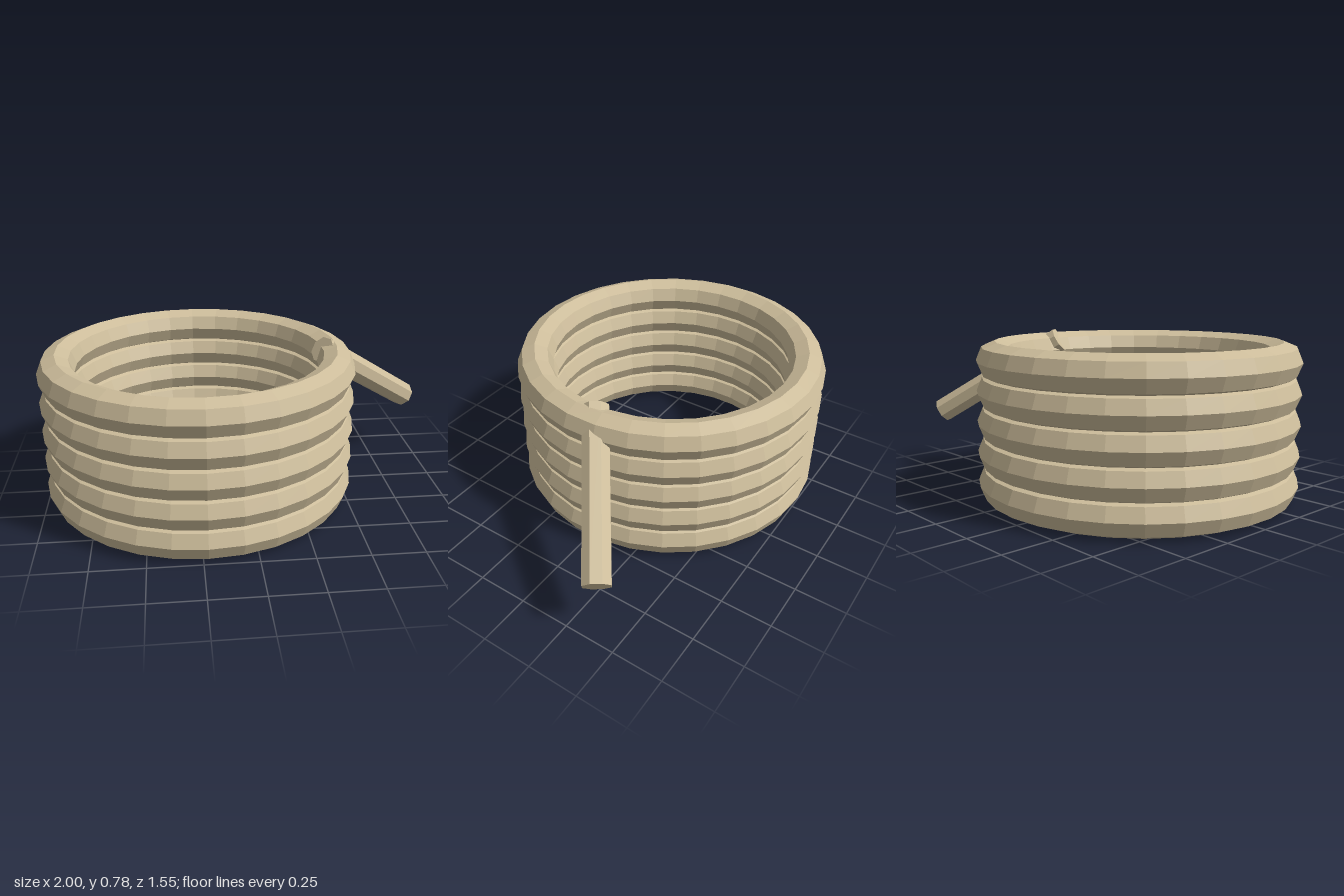
import * as THREE from 'three';

export function createModel() {
  const model = new THREE.Group();
  const rope = new THREE.MeshStandardMaterial({ color: 0xcdbd9b, flatShading: true });
  rope.name = 'rope tan';

  // Stack of overlapping eight-sided coils
  const coilGeometry = new THREE.TorusGeometry(0.685, 0.09, 8, 30);
  coilGeometry.rotateX(Math.PI / 2).rotateY(Math.PI / 30);
  for (let i = 0; i < 5; i++) {
    const coil = new THREE.Mesh(coilGeometry, rope);
    coil.name = `coil${i + 1}`;
    coil.position.set(-0.2285, 0.09 + i * 0.145, -0.004);
    model.add(coil);
  }

  // Loose end, sloping down and back from the top coil
  const start = new THREE.Vector3(0.393, 0.723, 0.007);
  const end = new THREE.Vector3(0.953, 0.308, -0.397);
  const along = end.clone().sub(start);
  const length = along.length();
  along.normalize();
  const up = new THREE.Vector3(0, 1, 0).addScaledVector(along, -along.y).normalize();
  const side = new THREE.Vector3().crossVectors(along, up);

  const looseEnd = new THREE.Mesh(
    new THREE.CylinderGeometry(0.067, 0.067, length, 8, 1, false, Math.PI / 8), rope);
  looseEnd.name = 'looseEnd';
  looseEnd.quaternion.setFromRotationMatrix(new THREE.Matrix4().makeBasis(side, along, up));
  looseEnd.position.addVectors(start, end).multiplyScalar(0.5);
  model.add(looseEnd);

  return model;
}
